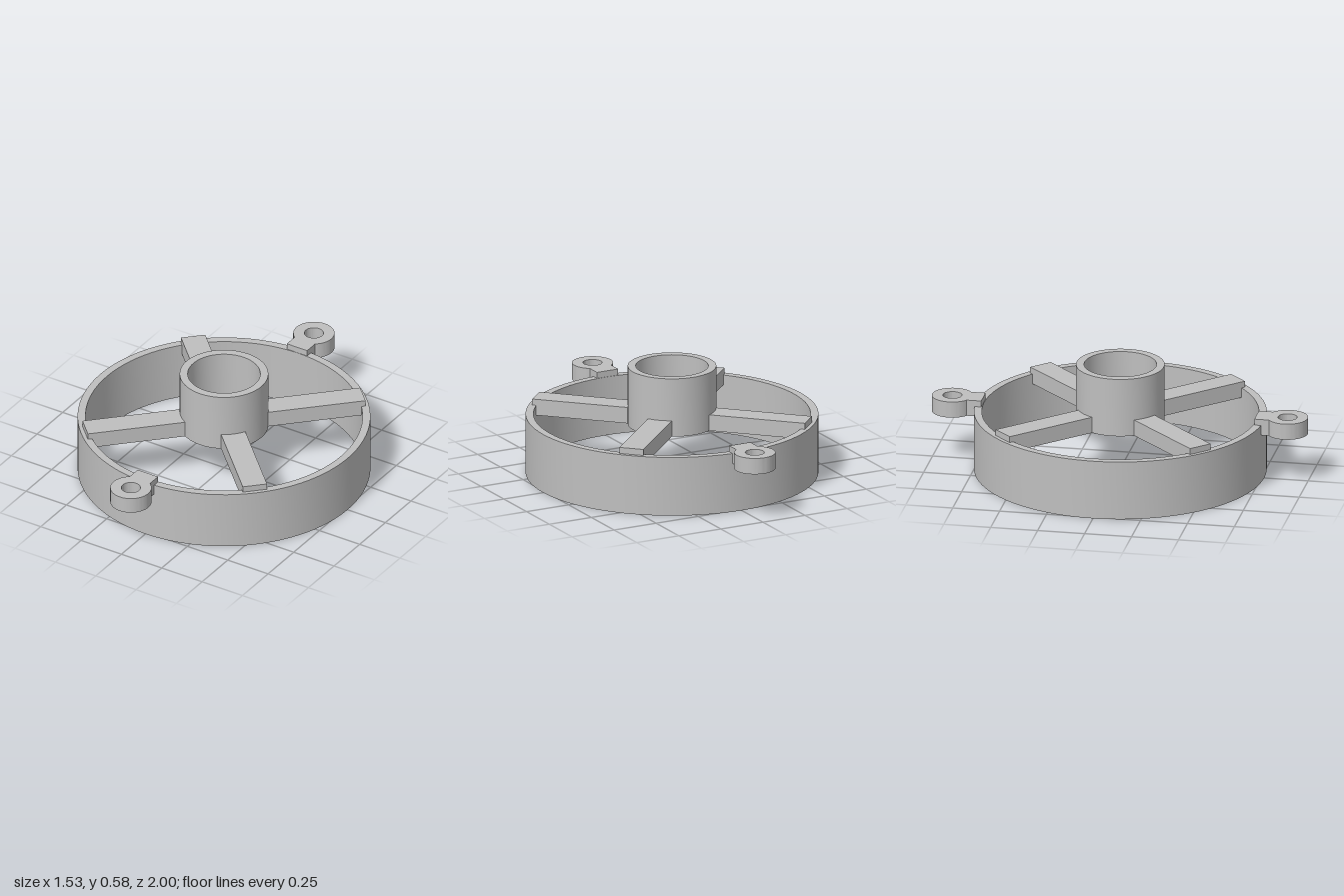
import * as THREE from 'three';
import { toCreasedNormals } from 'three/addons/utils/BufferGeometryUtils.js';

const TOP = 0.352, BOTTOM = 0.265;   // shared height band of spokes, lugs and hub floor
const RING_INNER = 0.725;

// Revolve a closed profile of [radius, y] pairs, given outer bottom first and going up
function revolve(profile, segments) {
  const points = [...profile, profile[0]].map(([r, y]) => new THREE.Vector2(r, y));
  return toCreasedNormals(new THREE.LatheGeometry(points, segments), 0.6);
}

// Keyhole-shaped plate: round eye with a bolt hole and a neck reaching to the ring
function lugGeometry() {
  const radius = 0.108, half = 0.063, neckEnd = -0.165;
  const a = Math.asin(half / radius);
  const shape = new THREE.Shape();
  shape.moveTo(-half, neckEnd);
  shape.lineTo(half, neckEnd);
  shape.absarc(0, 0, radius, -Math.PI / 2 + a, Math.PI * 1.5 - a, false);
  shape.closePath();
  const hole = new THREE.Path();
  hole.absarc(0, 0, 0.05, 0, Math.PI * 2, true);
  shape.holes.push(hole);
  const geo = new THREE.ExtrudeGeometry(shape, { depth: TOP - BOTTOM, bevelEnabled: false, curveSegments: 32 });
  geo.rotateX(Math.PI / 2);
  geo.translate(0, TOP, 0);
  return toCreasedNormals(geo, 0.6);
}

export function createModel() {
  const model = new THREE.Group();
  model.name = 'spokedRing';
  const grey = new THREE.MeshStandardMaterial({ color: 0xbfbfbf });
  grey.name = 'grey';

  const add = (name, geometry) => {
    const mesh = new THREE.Mesh(geometry, grey);
    mesh.name = name;
    model.add(mesh);
    return mesh;
  };

  // Outer ring
  add('ring', revolve([[0.766, 0], [0.766, 0.319], [RING_INNER, 0.319], [RING_INNER, 0]], 96));

  // Cup-shaped hub with a thin floor and a small centre hole
  const floor = BOTTOM + 0.045;
  add('hub', revolve([
    [0.232, BOTTOM], [0.232, 0.582], [0.19, 0.582],
    [0.19, floor], [0.068, floor], [0.068, BOTTOM],
  ], 64));

  // Four diagonal spokes from inside the hub wall to the ring
  const start = 0.21, end = 0.744;
  const spoke = new THREE.BoxGeometry(end - start, TOP - BOTTOM, 0.13);
  spoke.translate((start + end) / 2, (TOP + BOTTOM) / 2, 0);
  for (let i = 0; i < 4; i++) {
    add('spoke' + (i + 1), spoke).rotation.y = Math.PI / 4 + i * Math.PI / 2;
  }

  // Mounting lugs at front and back
  const lug = lugGeometry();
  add('frontLug', lug).position.set(-0.01, 0, 0.892);
  const backLug = add('backLug', lug);
  backLug.position.set(-0.01, 0, -0.892);
  backLug.rotation.y = Math.PI;

  return model;
}
